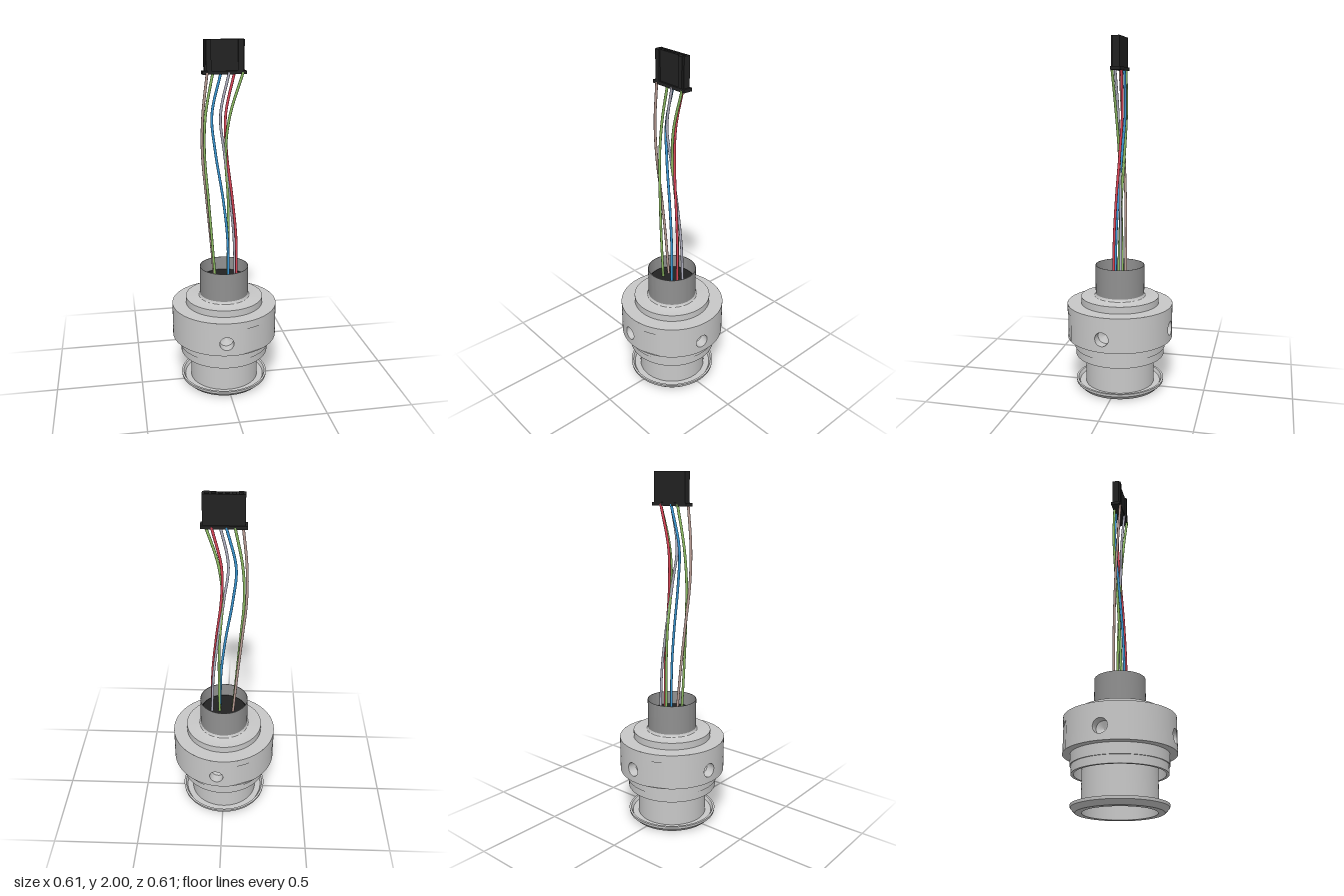
import * as THREE from 'three';
import { toCreasedNormals } from 'three/addons/utils/BufferGeometryUtils.js';

const material = (name, color, side = THREE.FrontSide) => {
  const m = new THREE.MeshStandardMaterial({ color, side });
  m.name = name;
  return m;
};

export function createModel() {
  const metal = material('light metal', 0xc8c8c8, THREE.DoubleSide);
  const darkMetal = material('dark metal', 0x909090, THREE.DoubleSide);
  const black = material('black plastic', 0x222222);
  const beige = material('beige wire', 0xb89c94);
  const green = material('green wire', 0x8cba62);
  const blue = material('blue wire', 0x3a96d2);
  const lavender = material('pale grey wire', 0xb0b0c0);
  const red = material('red wire', 0xd84456);

  const model = new THREE.Group();
  const add = (name, geometry, mat, parent = model) => {
    const mesh = new THREE.Mesh(geometry, mat);
    mesh.name = name;
    parent.add(mesh);
    return mesh;
  };
  const lathe = (name, profile, mat, parent) => add(name, toCreasedNormals(
    new THREE.LatheGeometry(profile.map(p => new THREE.Vector2(...p)), 96), 0.5), mat, parent);

  // Grid surface from a point function of column and row
  const surface = (point, columns, rows) => {
    const positions = [], index = [];
    for (let j = 0; j <= rows; j++)
      for (let i = 0; i <= columns; i++) positions.push(...point(i, j));
    for (let j = 0; j < rows; j++)
      for (let i = 0; i < columns; i++) {
        const a = j * (columns + 1) + i, d = a + columns + 1;
        index.push(a, a + 1, d + 1, a, d + 1, d);
      }
    const g = new THREE.BufferGeometry();
    g.setAttribute('position', new THREE.Float32BufferAttribute(positions, 3));
    g.setIndex(index);
    return toCreasedNormals(g, 0.5);
  };

  // Open lower sleeve with its dished end flange
  lathe('lowerSleeve', [[0, 0.42], [0.195, 0.42], [0.195, 0], [0.23, 0], [0.255, 0.025],
    [0.257, 0.04], [0.245, 0.04], [0.235, 0.022], [0.2, 0.022], [0.2, 0.3]], metal);

  // Hollow skirt and underside of the nut
  lathe('skirt', [[0.2, 0.3], [0.242, 0.3], [0.242, 0.195], [0.257, 0.195], [0.257, 0.24],
    [0.263, 0.24], [0.263, 0.3], [0.305, 0.3]], metal);

  // Stepped shoulder with a fillet to the upper tube
  lathe('shoulder', [[0.305, 0.5], [0.225, 0.5], [0.225, 0.54], [0.156, 0.54],
    [0.148, 0.543], [0.143, 0.549], [0.141, 0.557]], metal);

  // Nut wall: four drilled holes, with a flat after every second hole
  const nut = new THREE.Group();
  nut.name = 'nut';
  model.add(nut);
  const R = 0.305, deg = Math.PI / 180, holeR = 0.04, holeY = 0.375;
  const half = 14 * deg, low = 0.3 - holeY, high = 0.5 - holeY;
  const corners = [[-half * R, low], [half * R, low], [half * R, high], [-half * R, high]];
  const band = (name, from, to, y0, y1, segments) => {
    const g = new THREE.CylinderGeometry(R, R, y1 - y0, segments, 1, true, from, to - from);
    g.translate(0, (y0 + y1) / 2, 0);
    add(name, g, metal, nut);
  };
  for (let k = 0; k < 4; k++) {
    const centre = (-6.6 + 90 * k) * deg;
    const holePoint = (i, j) => {
      const edge = Math.floor(i / 8) % 4, t = (i % 8) / 8;
      const a = corners[edge], b = corners[(edge + 1) % 4];
      const ox = a[0] + (b[0] - a[0]) * t, oy = a[1] + (b[1] - a[1]) * t;
      const length = Math.hypot(ox, oy), cx = ox / length * holeR, cy = oy / length * holeR;
      if (j <= 4) { // curved wall around the hole
        const f = j / 4, angle = centre + (ox + (cx - ox) * f) / R;
        return [R * Math.sin(angle), holeY + oy + (cy - oy) * f, R * Math.cos(angle)];
      }
      // bore, then drill point
      const s = j === 5 ? cx : 0, depth = j === 5 ? 0.25 : 0.23;
      return [depth * Math.sin(centre) + s * Math.cos(centre), holeY + (j === 5 ? cy : 0),
        depth * Math.cos(centre) - s * Math.sin(centre)];
    };
    add('drilledWall', surface(holePoint, 32, 6), metal, nut);

    const start = centre + half, end = centre + 90 * deg - half;
    if (k % 2) {
      band('plainWall', start, end, 0.3, 0.5, 20);
      continue;
    }
    const f0 = (10 + 90 * k) * deg, f1 = (37 + 90 * k) * deg, top = 0.455;
    band('wallBeforeFlat', start, f0, 0.3, 0.5, 2);
    band('wallAfterFlat', f1, end, 0.3, 0.5, 12);
    band('wallAboveFlat', f0, f1, top, 0.5, 10);
    band('wrenchFlat', f0, f1, 0.3, top, 1);
    const mid = (f0 + f1) / 2;
    add('flatLedge', surface((i, j) => {
      const a = f0 + (f1 - f0) * i / 10;
      const r = j ? R * Math.cos(f1 - mid) / Math.cos(a - mid) : R;
      return [r * Math.sin(a), top, r * Math.cos(a)];
    }, 10, 1), metal, nut);
  }

  // Thin upper tube and its potted filling
  lathe('upperTube', [[0.141, 0.54], [0.141, 0.725], [0.138, 0.725], [0.138, 0.62]], darkMetal);
  lathe('potting', [[0.138, 0.64], [0.128, 0.65], [0, 0.65]], black);

  // Six wires that swap front and back on the way up
  const heights = [1.83, 1.6, 1.4, 1.13, 0.9, 0.64];
  const depths = [0.022, 0.016, 0.005, -0.01, -0.018, -0.022];
  const wires = [
    ['beigeWire', beige, 1, [-0.094, -0.119, -0.122, -0.098, -0.076, -0.054]],
    ['leftGreenWire', green, -1, [-0.056, -0.099, -0.108, -0.09, -0.073, -0.054]],
    ['blueWire', blue, -1, [-0.012, -0.064, -0.048, -0.007, 0.017, 0.023]],
    ['paleWire', lavender, 1, [0.024, -0.022, 0.0, 0.036, 0.06, 0.07]],
    ['redWire', red, -1, [0.062, 0.012, 0.015, 0.046, 0.067, 0.07]],
    ['rightGreenWire', green, 1, [0.1, 0.03, 0.008, 0.025, 0.028, 0.025]],
  ];
  for (const [name, mat, side, xs] of wires) {
    const path = new THREE.CatmullRomCurve3(
      xs.map((x, i) => new THREE.Vector3(x, heights[i], side * depths[i])));
    add(name, new THREE.TubeGeometry(path, 48, 0.0075, 10), mat);
  }

  // Plug housing with six square sockets
  const plug = new THREE.Group();
  plug.name = 'plug';
  model.add(plug);
  const rect = (Type, x, y, w, h) => new Type([[-1, -1], [1, -1], [1, 1], [-1, 1]]
    .map(([a, b]) => new THREE.Vector2(x + a * w / 2, y + b * h / 2)));
  const housing = rect(THREE.Shape, 0, 0.003, 0.216, 0.038);
  for (let i = 0; i < 6; i++)
    housing.holes.push(rect(THREE.Path, -0.084 + i * 0.0336, 0.003, 0.02, 0.02));
  const housingGeometry = new THREE.ExtrudeGeometry(housing, { depth: 0.165, bevelEnabled: false });
  housingGeometry.rotateX(-Math.PI / 2).translate(0, 1.835, 0);
  add('housing', housingGeometry, black, plug);
  const box = (name, w, h, d, x, y, z) =>
    add(name, new THREE.BoxGeometry(w, h, d).translate(x, y, z), black, plug);
  box('bottomLip', 0.238, 0.018, 0.054, 0, 1.829, -0.001);
  for (const s of [-1, 1]) box('sideRib', 0.028, 0.165, 0.01, s * 0.086, 1.9175, 0.02);

  return model;
}
